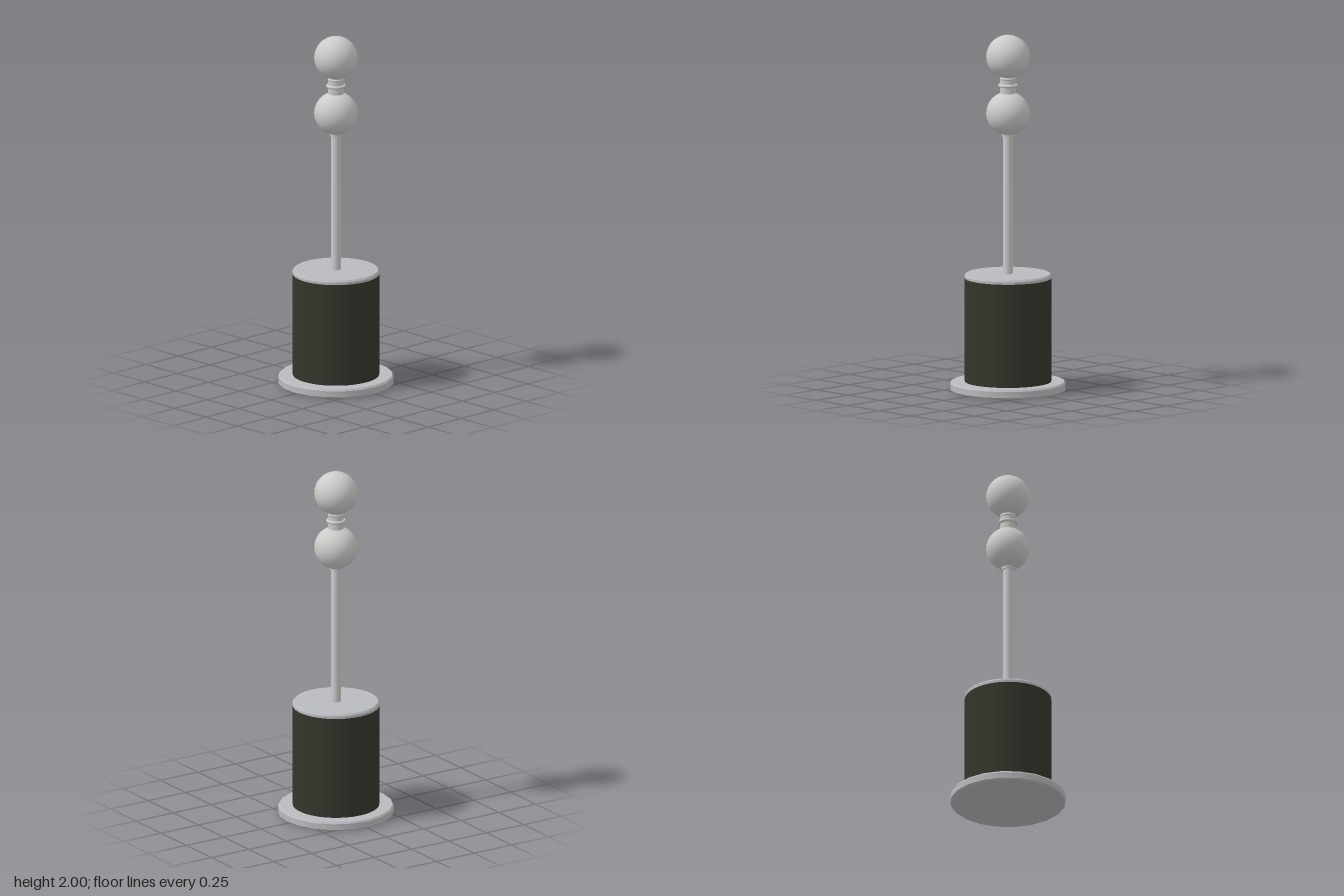
import * as THREE from 'three';
import { toCreasedNormals } from 'three/addons/utils/BufferGeometryUtils.js';

export function createModel() {
  const group = new THREE.Group();
  const paleMetal = new THREE.MeshStandardMaterial({ color: 0xcccbca });
  const plateGrey = new THREE.MeshStandardMaterial({ color: 0xb9babd });
  const darkOlive = new THREE.MeshStandardMaterial({ color: 0x35342b });

  const add = (name, geometry, material, y = 0) => {
    const mesh = new THREE.Mesh(geometry, material);
    mesh.name = name;
    mesh.position.y = y;
    group.add(mesh);
  };
  // Turned part from [radius, height] pairs, bottom to top
  const turned = (points, sides) => toCreasedNormals(
    new THREE.LatheGeometry(points.map(([r, y]) => new THREE.Vector2(r, y)), sides), 0.5);

  // Pedestal: bevelled foot plate, drum and lid
  add('footPlate', turned([[0, 0.004], [0.312, 0.004], [0.322, 0.012], [0.322, 0.046], [0.314, 0.056], [0, 0.056]], 20), plateGrey);
  add('drum', new THREE.CylinderGeometry(0.24, 0.24, 0.59, 64), darkOlive, 0.345);
  add('drumLid', turned([[0, 0.636], [0.242, 0.636], [0.242, 0.65], [0.234, 0.66], [0, 0.66]], 32), plateGrey);

  // Rod with a small collar under the lower ball
  add('rod', new THREE.CylinderGeometry(0.027, 0.027, 0.82, 24), paleMetal, 1.05);
  add('collar', new THREE.CylinderGeometry(0.038, 0.034, 0.03, 24), paleMetal, 1.445);

  // Two balls joined by a ringed neck
  add('lowerBall', new THREE.SphereGeometry(0.121, 48, 32), paleMetal, 1.56);
  add('upperBall', new THREE.SphereGeometry(0.121, 48, 32), paleMetal, 1.879);
  add('neck', new THREE.CylinderGeometry(0.043, 0.043, 0.14, 32), paleMetal, 1.72);
  for (const [y, r] of [[1.717, 0.046], [1.755, 0.037]]) {
    const ring = new THREE.TorusGeometry(r, 0.009, 12, 32);
    ring.rotateX(Math.PI / 2);
    add('neckRing', ring, paleMetal, y);
  }
  return group;
}
